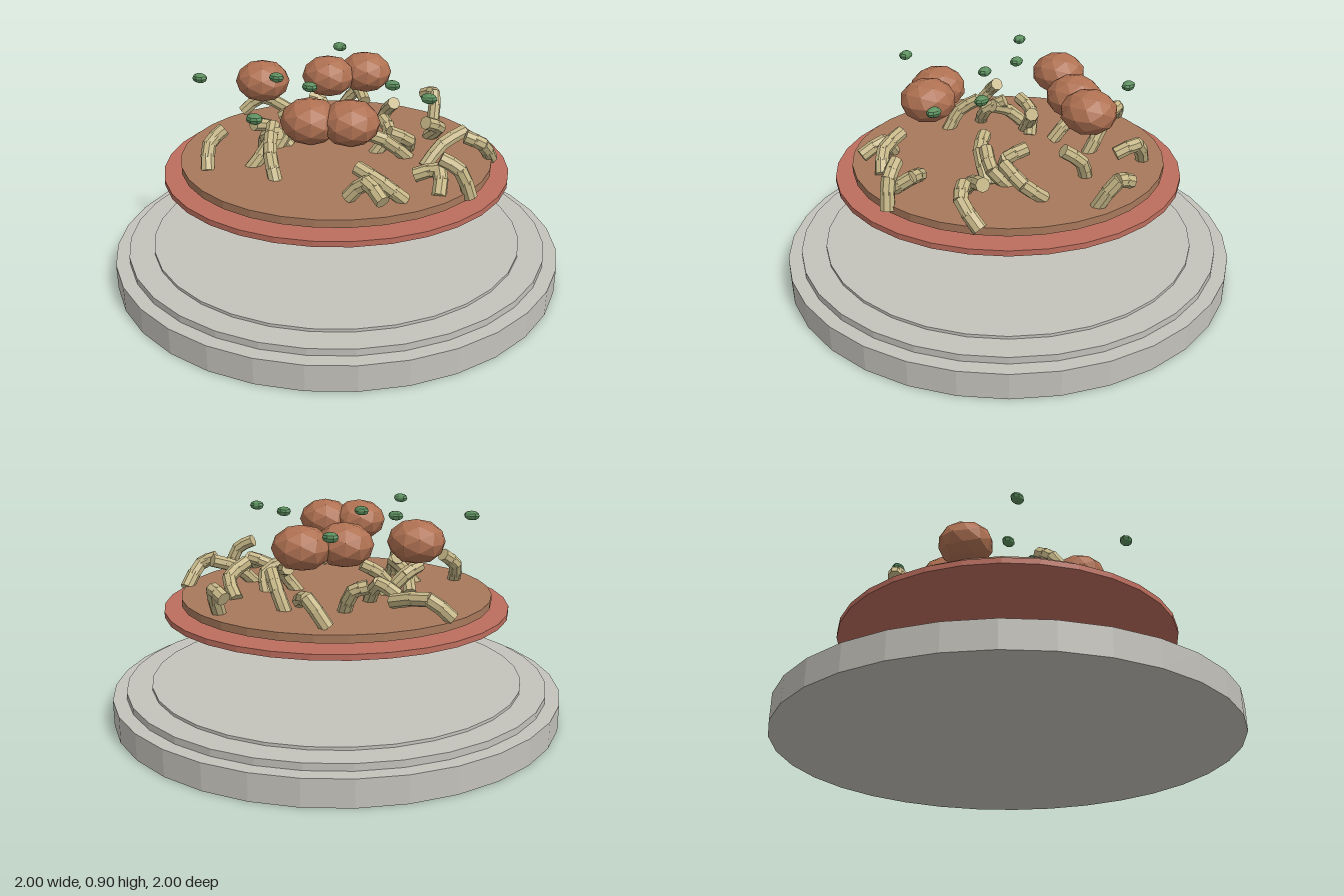
import * as THREE from 'three';

const mat = (name, color) => {
  const m = new THREE.MeshStandardMaterial({ color });
  m.name = name;
  m.flatShading = true;
  return m;
};

export function createModel() {
  const model = new THREE.Group();
  model.name = 'pastaDish';
  const ceramic = mat('ceramic', 0xc4c2bb);
  const tomato = mat('tomato', 0xbd6e5e);
  const gravy = mat('gravy', 0xa8795c);
  const meat = mat('meat', 0xaf7152);
  const pasta = mat('pasta', 0xc6b787);
  const green = mat('green', 0x5b8f5e);

  const add = (parent, name, geometry, material, x = 0, y = 0, z = 0) => {
    const mesh = new THREE.Mesh(geometry, material);
    mesh.name = name;
    mesh.position.set(x, y, z);
    parent.add(mesh);
    return mesh;
  };
  const group = (name) => {
    const g = new THREE.Group();
    g.name = name;
    model.add(g);
    return g;
  };
  const disc = (name, r, y0, y1, material) =>
    add(model, name, new THREE.CylinderGeometry(r, r, y1 - y0, 32), material, 0, (y0 + y1) / 2, 0);

  // Stepped plate and the two sauce layers above it
  disc('plateBase', 1, 0, 0.115, ceramic);
  disc('plateRim', 0.94, 0.115, 0.145, ceramic);
  disc('plateCentre', 0.83, 0.145, 0.158, ceramic);
  disc('tomatoSauce', 0.76, 0.47, 0.494, tomato);
  disc('gravyLayer', 0.685, 0.512, 0.545, gravy);

  // Flattened faceted meatballs
  const meatballs = group('meatballs');
  const ballGeo = new THREE.IcosahedronGeometry(0.122, 1).scale(1, 0.77, 1);
  [[-0.05, -0.37], [-0.17, -0.23], [-0.395, -0.02], [0.065, 0.33], [0.214, 0.27]]
    .forEach(([x, z]) => add(meatballs, 'meatball', ballGeo, meat, x, 0.805, z));

  // Small green garnish
  const garnish = group('garnish');
  const peaGeo = new THREE.SphereGeometry(0.036, 8, 6).scale(1, 0.58, 0.75);
  [[-0.235, -0.455], [0.25, -0.037], [0.455, 0.048], [-0.043, 0.152], [-0.235, 0.11], [-0.52, 0.278], [-0.027, 0.588]]
    .forEach(([x, z]) => add(garnish, 'pea', peaGeo, green, x, 0.88, z));

  // Curved macaroni, each a chain of four short cylinders through three points
  const macaroni = group('macaroni');
  const up = new THREE.Vector3(0, 1, 0);
  const noodle = (a, b, c) => {
    const piece = new THREE.Group();
    piece.name = 'macaroniPiece';
    const pts = new THREE.CatmullRomCurve3([a, b, c].map((p) => new THREE.Vector3(...p))).getPoints(4);
    for (let i = 0; i < 4; i++) {
      const dir = pts[i + 1].clone().sub(pts[i]);
      const mid = pts[i].clone().add(pts[i + 1]).multiplyScalar(0.5);
      const seg = add(piece, 'macaroniSegment',
        new THREE.CylinderGeometry(0.03, 0.03, dir.length() + 0.014, 8), pasta, mid.x, mid.y, mid.z);
      seg.quaternion.setFromUnitVectors(up, dir.normalize());
    }
    macaroni.add(piece);
  };
  // Back and left-hand pieces
  noodle([0.13, 0.64, -0.66], [0.19, 0.66, -0.64], [0.22, 0.54, -0.57]);
  noodle([-0.26, 0.55, -0.53], [-0.18, 0.65, -0.54], [-0.11, 0.62, -0.48]);
  noodle([-0.64, 0.56, -0.21], [-0.56, 0.63, -0.25], [-0.4, 0.60, -0.24]);
  noodle([-0.37, 0.60, -0.14], [-0.29, 0.64, -0.15], [-0.22, 0.55, -0.1]);
  noodle([-0.31, 0.66, -0.3], [-0.26, 0.64, -0.32], [-0.2, 0.53, -0.29]);
  noodle([0.01, 0.53, -0.4], [0.05, 0.62, -0.4], [0.11, 0.68, -0.35]);
  // Right-hand cluster
  noodle([0.29, 0.55, -0.36], [0.36, 0.62, -0.31], [0.34, 0.67, -0.21]);
  noodle([0.14, 0.66, -0.18], [0.2, 0.63, -0.13], [0.15, 0.53, -0.08]);
  noodle([0.14, 0.67, 0.03], [0.23, 0.64, -0.01], [0.3, 0.54, -0.1]);
  noodle([0.25, 0.53, -0.18], [0.3, 0.61, -0.12], [0.24, 0.66, -0.05]);
  noodle([0.41, 0.54, -0.05], [0.45, 0.62, -0.13], [0.51, 0.66, -0.22]);
  noodle([0.55, 0.66, -0.16], [0.61, 0.63, -0.19], [0.62, 0.54, -0.28]);
  noodle([0.45, 0.58, 0.14], [0.54, 0.61, 0.11], [0.58, 0.54, 0.2]);
  noodle([0.57, 0.68, 0.16], [0.64, 0.64, 0.14], [0.68, 0.53, 0.12]);
  // Front pieces
  noodle([0.3, 0.66, 0.36], [0.41, 0.62, 0.365], [0.48, 0.55, 0.32]);
  noodle([0.29, 0.56, 0.42], [0.36, 0.63, 0.41], [0.45, 0.59, 0.45]);
  noodle([-0.38, 0.68, 0.32], [-0.41, 0.63, 0.38], [-0.38, 0.54, 0.44]);
  noodle([-0.16, 0.68, 0.28], [-0.12, 0.63, 0.35], [-0.07, 0.53, 0.39]);
  // Left-centre cluster
  noodle([-0.15, 0.68, -0.03], [-0.21, 0.64, 0.01], [-0.26, 0.54, 0.08]);
  noodle([-0.33, 0.66, 0.15], [-0.3, 0.63, 0.07], [-0.23, 0.54, 0.03]);
  noodle([-0.22, 0.68, 0.17], [-0.19, 0.63, 0.25], [-0.24, 0.53, 0.32]);
  noodle([-0.31, 0.55, 0.11], [-0.26, 0.62, 0.17], [-0.18, 0.66, 0.2]);

  return model;
}
